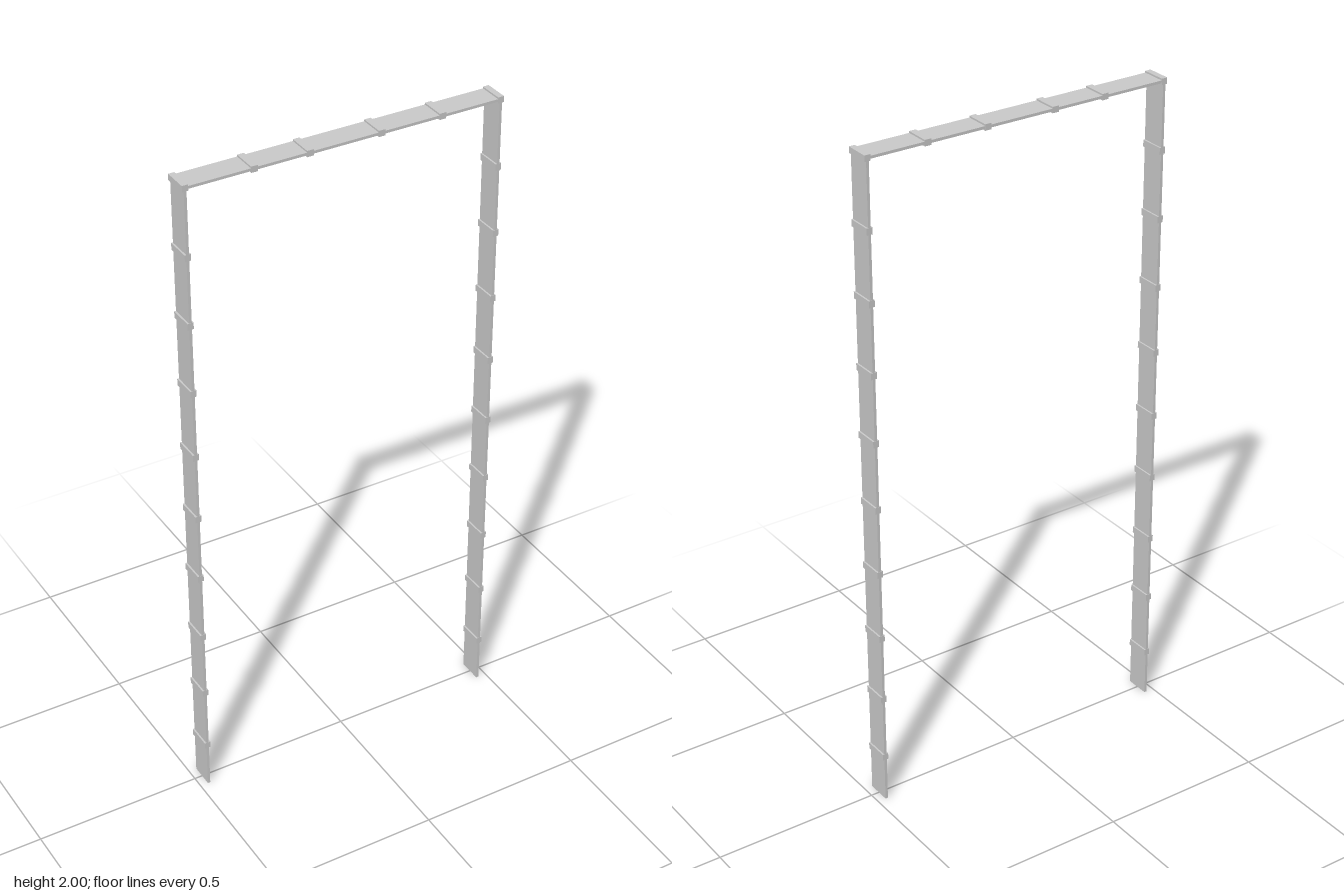
import * as THREE from 'three';

export function createModel() {
  const group = new THREE.Group();
  const mat = new THREE.MeshStandardMaterial({ color: 0xcccccc, flatShading: true });
  const depth = 0.074, strip = 0.008, clip = 0.018, clipLength = 0.02;
  const left = 0.471, right = -0.472, top = 1.991;

  const box = (name, w, h, d, x, y) => {
    const mesh = new THREE.Mesh(new THREE.BoxGeometry(w, h, d), mat);
    mesh.name = name;
    mesh.position.set(x, y, 0);
    group.add(mesh);
  };

  // Upright strips with evenly spaced clips
  const heights = [0.147, 0.345, 0.55, 0.76, 0.965, 1.17, 1.375, 1.585, 1.79];
  for (const [side, x] of [['left', left], ['right', right]]) {
    box(side + 'Upright', strip, top, depth - 0.001, x, top / 2);
    heights.forEach((y, i) => box(`${side}Clip${i + 1}`, clip, clipLength, depth, x, y));
    // Clip joining the upright to the crossbar
    box(side + 'CornerClip', clip, clip, depth, x, top);
  }

  // Crossbar strip with its clips
  box('crossbar', left - right, strip, depth - 0.001, (left + right) / 2, top);
  [-0.274, -0.111, 0.103, 0.289].forEach((x, i) => box(`topClip${i + 1}`, clipLength, clip, depth, x, top));

  return group;
}
